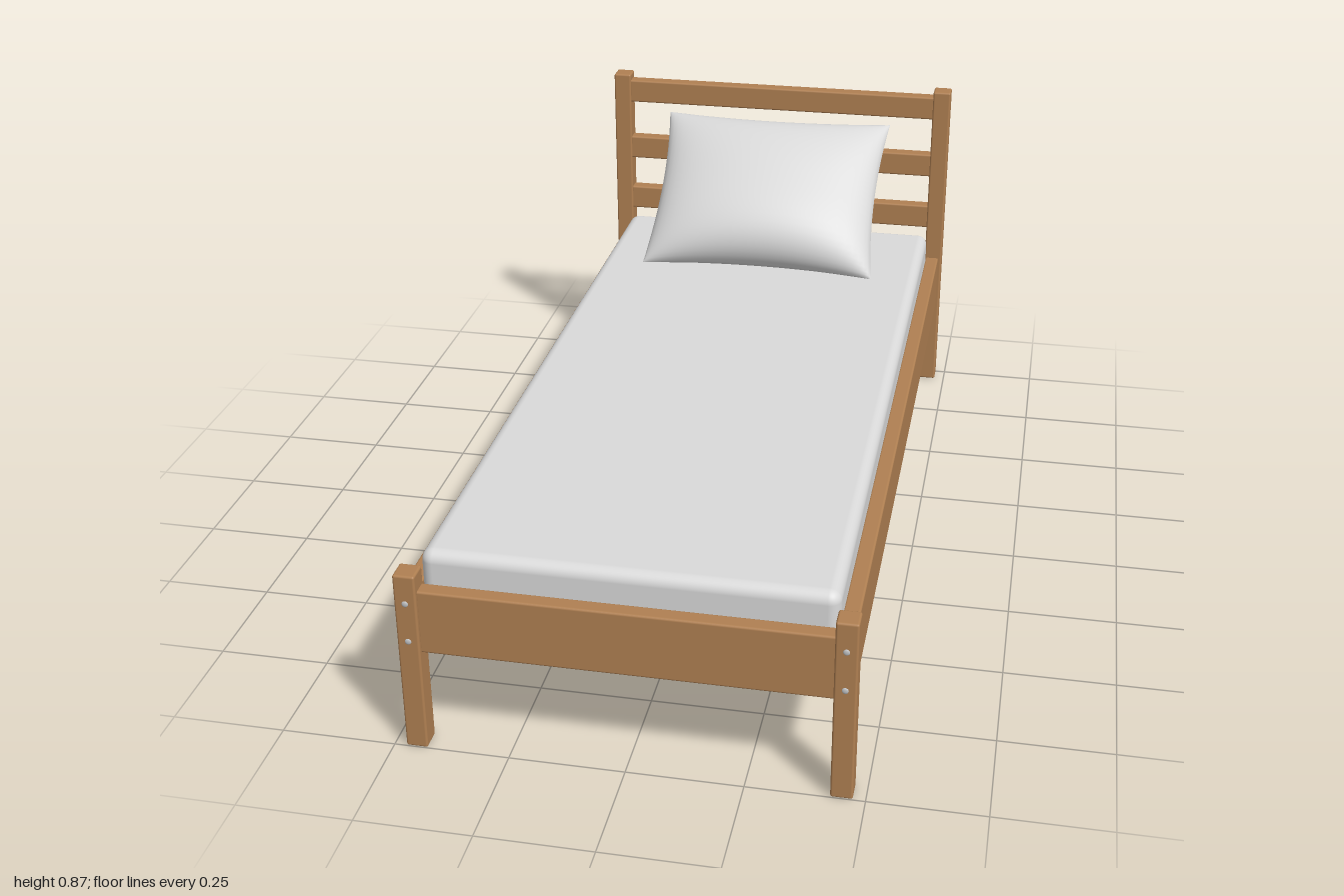
import * as THREE from 'three';
import { RoundedBoxGeometry } from 'three/addons/geometries/RoundedBoxGeometry.js';

export function createModel() {
  const bed = new THREE.Group();
  bed.name = 'bed';
  const mat = (name, color) => {
    const m = new THREE.MeshStandardMaterial({ color });
    m.name = name;
    return m;
  };
  const wood = mat('wood', 0xb08052);
  const linen = mat('linen', 0xdadada);
  const metal = mat('screw metal', 0xc0c2c4);

  const add = (name, geometry, material, x, y, z) => {
    const mesh = new THREE.Mesh(geometry, material);
    mesh.name = name;
    mesh.position.set(x, y, z);
    bed.add(mesh);
    return mesh;
  };
  // Softly rounded timber between two heights, centred on x and z
  const timber = (name, w, d, y0, y1, x, z) =>
    add(name, new RoundedBoxGeometry(w, y1 - y0, d, 3, 0.005), wood, x, (y0 + y1) / 2, z);

  const postX = 0.4505, postZ = 0.9745, board = 0.036;
  // Low domed screw heads
  const screwGeometry = new THREE.SphereGeometry(0.007, 16, 10).scale(1, 1, 0.4);

  for (const s of [1, -1]) {
    const side = s > 0 ? 'left' : 'right';
    // Corner posts
    timber(side + 'FootPost', 0.047, 0.05, 0, 0.423, s * postX, postZ);
    timber(side + 'HeadPost', 0.047, 0.05, 0, 0.873, s * postX, -postZ);
    // Side rail and the ledge that carries the slats
    timber(side + 'SideRail', board, 1.912, 0.235, 0.383, s * 0.447, 0);
    timber(side + 'SlatLedge', 0.028, 1.9, 0.262, 0.292, s * 0.418, 0);
    // Screws on the outer faces of the posts
    for (const z of [0.9995, -0.9995])
      for (const y of [0.266, 0.357])
        add(side + 'Screw', screwGeometry, metal, s * postX, y, z);
  }

  // End boards and headboard rails
  const span = 0.862;
  timber('footBoard', span, board, 0.235, 0.383, 0, 0.972);
  timber('headBoard', span, board, 0.235, 0.383, 0, -0.972);
  for (const [y0, y1] of [[0.473, 0.538], [0.626, 0.69], [0.793, 0.856]])
    timber('headboardRail', span, board, y0, y1, 0, -0.972);

  // Slats under the mattress
  const slats = 10;
  for (let i = 0; i < slats; i++)
    timber('slat', 0.864, 0.075, 0.292, 0.32, 0, -0.855 + (1.71 * i) / (slats - 1));

  // Mattress
  add('mattress', new RoundedBoxGeometry(0.862, 0.135, 1.908, 5, 0.026), linen, 0, 0.3875, 0);

  // Pillow leaning on the headboard
  const pillow = add('pillow', pillowGeometry(0.312, 0.242), linen, 0, 0.62, -0.758);
  pillow.rotation.x = 0.686;
  return bed;
}

// Plump cushion with drawn-out corners and hollow edges, fuller towards its lower front
function pillowGeometry(halfW, halfD) {
  const n = 28, row = n + 1, positions = [], index = [];
  for (const face of [1, -1]) {
    const base = positions.length / 3;
    for (let j = 0; j <= n; j++) {
      for (let i = 0; i <= n; i++) {
        // Sine spacing packs rows towards the rounded edges
        const u = Math.sin((i / n - 0.5) * Math.PI), v = Math.sin((j / n - 0.5) * Math.PI);
        const fullness = face > 0 ? 0.1 * (1 + 0.2 * v) : 0.085 * (1 - 0.15 * v);
        const across = Math.max(0, 1 - u * u), along = Math.max(0, 1 - Math.abs(v) ** 3);
        const x = halfW * u * (1 - 0.055 * (1 - v * v));
        const z = halfD * v * (1 - 0.08 * across);
        positions.push(x, face * fullness * Math.sqrt(across * along), z);
        if (i < n && j < n) {
          const a = base + j * row + i, b = a + 1, c = a + row, d = c + 1;
          if (face > 0) index.push(a, c, b, b, c, d);
          else index.push(a, b, c, b, d, c);
        }
      }
    }
  }
  const g = new THREE.BufferGeometry();
  g.setAttribute('position', new THREE.Float32BufferAttribute(positions, 3));
  g.setIndex(index);
  g.computeVertexNormals();
  return g;
}
